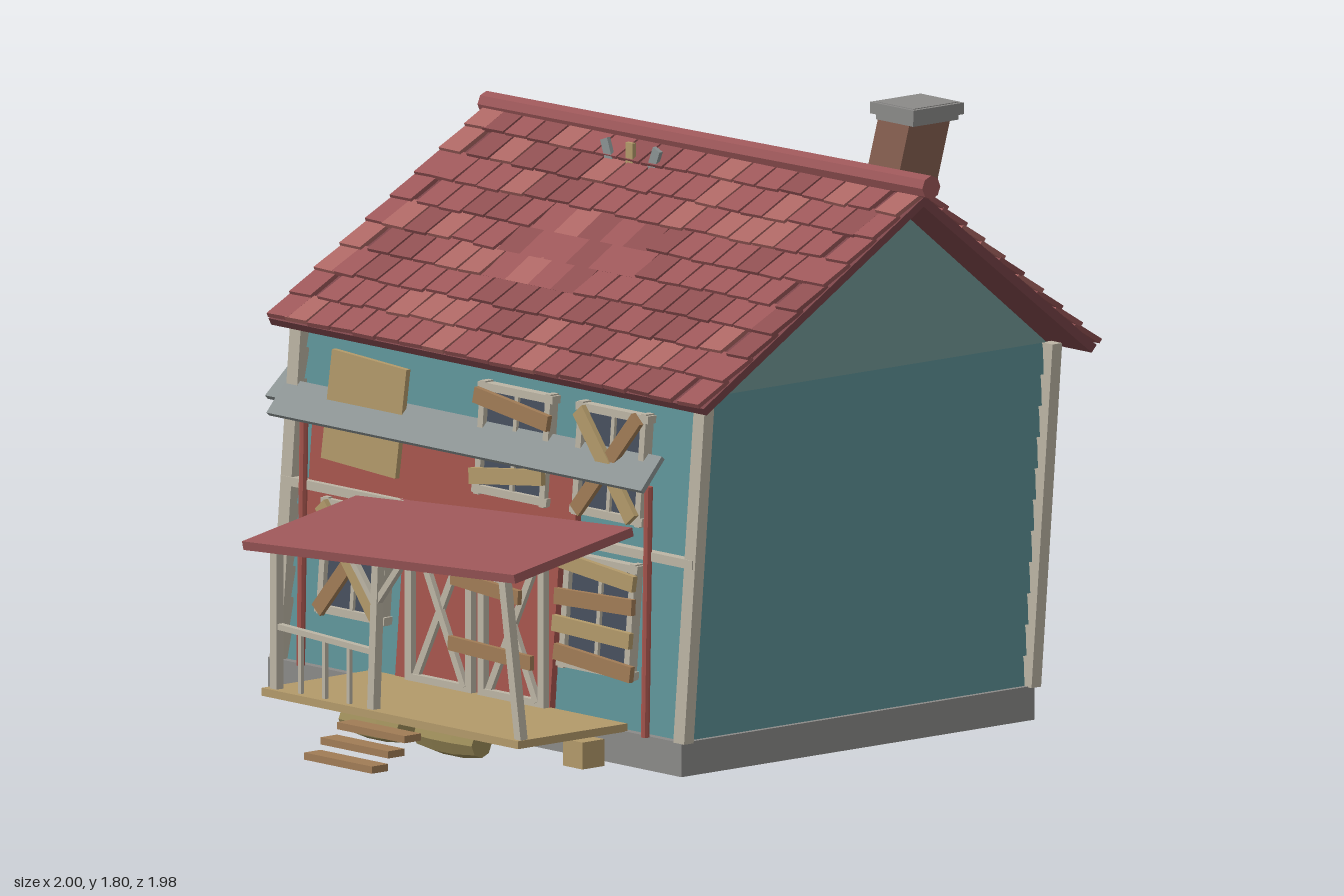
import * as THREE from 'three';
import { mergeGeometries } from 'three/addons/utils/BufferGeometryUtils.js';

const C = {
  teal: 0x5c9095, gable: 0x739a98, red: 0xa8564e, roof: 0x9b5658, roofLight: 0xab6663, roofDark: 0x8d4e50,
  trim: 0xbcb5a5, wood: 0xa17c56, paleWood: 0xb39a6a, stone: 0x8b8a88, metal: 0x8b9393, glass: 0x48505f,
  brick: 0x8a6253, darkRed: 0x7a4448, black: 0x2a2a2a, hay: 0x9a8a58,
};
const mats = {};
const mat = (c) => (mats[c] ??= new THREE.MeshStandardMaterial({ color: C[c], flatShading: true, side: THREE.DoubleSide }));

let seed = 7;
const rnd = () => (seed = (seed * 16807) % 2147483647) / 2147483647;
const jit = (a) => (rnd() - 0.5) * 2 * a;

function mesh(name, geo, color, x = 0, y = 0, z = 0, rx = 0, ry = 0, rz = 0) {
  const m = new THREE.Mesh(geo, mat(color));
  m.name = name;
  m.position.set(x, y, z);
  m.rotation.set(rx, ry, rz);
  return m;
}
const box = (name, color, w, h, d, x, y, z, rx, ry, rz) =>
  mesh(name, new THREE.BoxGeometry(w, h, d), color, x, y, z, rx, ry, rz);

// Bakes a part's transform, then slants it sideways about height y0
function lean(part, k = 0.09, y0 = part.position.y) {
  part.updateMatrixWorld(true);
  part.traverse((o) => {
    if (!o.isMesh) return;
    o.geometry.applyMatrix4(o.matrixWorld);
    const p = o.geometry.attributes.position;
    for (let i = 0; i < p.count; i++) p.setX(i, p.getX(i) + k * (p.getY(i) - y0));
    o.geometry.computeVertexNormals();
  });
  part.traverse((o) => { o.position.set(0, 0, 0); o.rotation.set(0, 0, 0); });
  return part;
}

// Framed window with boards nailed over it; each board is [x, y, length, angle]
function windowUnit(name, x, y, z, w, h, ry, boards) {
  const g = new THREE.Group();
  g.name = name;
  g.add(box('pane', 'glass', w, h, 0.01, 0, 0, 0.005));
  for (const s of [-1, 1]) {
    g.add(box('frameSide', 'trim', 0.022, h + 0.03, 0.03, s * w / 2, 0, 0.01));
    g.add(box('frameRail', 'trim', w + 0.04, 0.022, 0.03, 0, s * h / 2, 0.01));
  }
  g.add(box('mullion', 'trim', 0.014, h, 0.018, 0, 0, 0.01));
  boards.forEach(([bx, by, len, a], i) =>
    g.add(box('board', i % 2 ? 'paleWood' : 'wood', len, 0.045, 0.016, bx, by, 0.032 + i * 0.004, 0, 0, a)));
  g.position.set(x, y, z);
  g.rotation.y = ry;
  return lean(g);
}

function buildWalls(root) {
  root.add(box('foundation', 'stone', 1.71, 0.095, 1.29, -0.145, 0.085, -0.245));
  // Clapboard courses: each flares outward at its lower edge
  const rows = 11, h = 0.97 / rows;
  for (let i = 0; i < rows; i++) {
    const y = 0.13 + (i + 0.5) * h;
    const geo = new THREE.BoxGeometry(1, h, 1), p = geo.attributes.position;
    for (let j = 0; j < p.count; j++) {
      const out = p.getY(j) < 0 ? 0.012 : 0;
      p.setX(j, Math.sign(p.getX(j)) * (0.818 + out));
      p.setZ(j, Math.sign(p.getZ(j)) * (0.615 + out));
    }
    root.add(lean(mesh('clapboards', geo, 'teal', -0.135 + 0.09 * (y - 0.13), y, -0.25)));
  }
  // Gable block
  const tri = new THREE.Shape([[-0.37, 1.1], [0.88, 1.1], [0.255, 1.585]].map((q) => new THREE.Vector2(...q)));
  const gable = new THREE.ExtrudeGeometry(tri, { depth: 1.64, bevelEnabled: false }).rotateY(Math.PI / 2).translate(-0.868, 0, 0);
  root.add(lean(mesh('gable', gable, 'gable'), 0.1, 1.1));
  // Corner posts and downpipes
  for (const z of [0.385, -0.885]) {
    for (const x of [-0.925, 0.745]) root.add(lean(box('cornerPost', 'trim', 0.045, 0.97, 0.035, x, 0.615, z)));
    for (const x of [-0.85, 0.575])
      root.add(lean(mesh('downpipe', new THREE.CylinderGeometry(0.012, 0.012, 0.7, 8), 'red', x, 0.48, z + Math.sign(z) * 0.022), 0.02));
  }
  root.add(box('frontTrim', 'trim', 1.7, 0.025, 0.03, -0.09, 0.635, 0.39));
  root.add(lean(box('redPanel', 'red', 1.1, 0.17, 0.02, -0.28, 0.735, 0.385)));
  root.add(lean(box('redDoorway', 'red', 0.64, 0.49, 0.02, -0.14, 0.375, 0.385)));
  root.add(lean(box('redSidePanel', 'red', 0.34, 0.08, 0.02, -0.68, 0.59, 0.385)));
}

function buildRoof(root) {
  const run = 0.72, rise = 0.52, L = Math.hypot(run, rise), a = Math.atan2(rise, run);
  const shades = { roof: [], roofLight: [], roofDark: [] };
  const place = (geo, s) => geo.rotateX(s * a).translate(0.02, 1.615, -0.26);
  const rows = 9, cols = 19, dv = L / rows, dx = 1.8 / cols;
  for (const s of [1, -1]) {
    const deck = place(new THREE.BoxGeometry(1.8, 0.025, L).translate(0, -0.015, s * L / 2), s);
    root.add(lean(mesh('roofDeck', deck, 'darkRed'), 0.2, 1.355));
    for (let r = 0; r < rows; r++) for (let c = 0; c < cols; c++) {
      const shift = r % 2 ? 0.02 : -0.02, x = -0.9 + (c + 0.5) * dx + (c && c < cols - 1 ? shift : 0);
      const v = (r + 0.5) * dv;
      const worn = Math.hypot((x + 0.1) / 0.28, (v - 0.42) / 0.16) < 1;
      const tile = new THREE.BoxGeometry(dx - (worn ? 0 : 0.008), 0.014, dv + 0.012 + (worn ? 0 : jit(0.01)))
        .rotateX(worn ? 0 : -s * 0.1).rotateY(worn ? 0 : jit(0.03)).translate(x, worn ? 0.004 : 0.008, s * v);
      shades[['roof', 'roofLight', 'roofDark', 'roof'][Math.floor(rnd() * 4)]].push(place(tile, s));
    }
  }
  for (const k in shades) root.add(lean(mesh('shingles', mergeGeometries(shades[k]), k), 0.2, 1.355));
  const ridge = new THREE.CylinderGeometry(0.033, 0.033, 1.84, 8).rotateZ(Math.PI / 2);
  root.add(mesh('ridgeCap', ridge, 'roof', 0.077, 1.628, -0.26, 0, 0, 0.012));

  // Leaning chimney
  root.add(lean(box('chimney', 'brick', 0.13, 0.46, 0.15, 0.585, 1.54, -0.505), 0.3));
  root.add(box('chimneyCap', 'stone', 0.18, 0.032, 0.185, 0.655, 1.782, -0.51));
  root.add(box('chimneyCapRim', 'stone', 0.155, 0.05, 0.165, 0.655, 1.775, -0.51));

  // Broken planks and the red fin poking out of the slopes
  [[-0.235, 0.35, 'metal'], [-0.145, 0, 'paleWood'], [-0.05, -0.4, 'metal']].forEach(([x, r, c]) =>
    root.add(box('brokenPlank', c, 0.03, 0.09, 0.012, x, 1.57, -0.17, 0, 0, r)));
  const fin = new THREE.Shape([[0.54, 1.37], [0.69, 1.415], [0.69, 1.54], [0.58, 1.48]].map((q) => new THREE.Vector2(...q)));
  root.add(mesh('fin', new THREE.ExtrudeGeometry(fin, { depth: 0.012, bevelEnabled: false }).rotateY(Math.PI / 2), 'red', -0.148));
}

function buildAwnings(root) {
  for (const s of [1, -1])
    root.add(box('awning', 'metal', 1.55, 0.014, 0.115, -0.155, 0.87, -0.25 + s * 0.675, s * 0.85));
  // Arched awning on the end wall
  const pts = [[0.4, 0.86], [0.06, 1.2], [-0.26, 1.33], [-0.58, 1.2], [-0.9, 0.86]];
  for (let i = 0; i < pts.length - 1; i++) {
    const [z0, y0] = pts[i], [z1, y1] = pts[i + 1];
    const seg = box('archAwning', 'metal', 0.09, 0.016, Math.hypot(z1 - z0, y1 - y0) + 0.01,
      -0.93, (y0 + y1) / 2, (z0 + z1) / 2, Math.atan2(y1 - y0, z0 - z1));
    root.add(lean(seg, 0.13, 1.07));
  }
  root.add(box('redPlank', 'red', 0.02, 0.06, 0.2, -0.9, 1.14, -0.3, 0.15));
  root.add(box('loosePlank', 'wood', 0.02, 0.035, 0.17, -0.92, 0.95, -0.27, -0.3));
  root.add(box('loosePlank', 'paleWood', 0.02, 0.035, 0.12, -0.92, 0.9, -0.28, 0.25));
}

function buildOpenings(root) {
  const cross = (l) => [[0, 0, l, 0.9], [0, 0, l, -0.85]];
  const slats = (n, l, h) => Array.from({ length: n }, (_, i) => [jit(0.01), (i / (n - 1) - 0.5) * h, l, jit(0.1)]);
  root.add(windowUnit('upperWindow', 0.02, 0.87, 0.385, 0.27, 0.29, 0, [[0, 0.1, 0.31, -0.13], [0, -0.09, 0.3, 0.12]]));
  root.add(windowUnit('upperWindow', 0.42, 0.87, 0.385, 0.26, 0.29, 0, cross(0.37)));
  root.add(windowUnit('lowerWindow', -0.64, 0.45, 0.385, 0.25, 0.3, 0, cross(0.39)));
  root.add(windowUnit('lowerWindow', 0.37, 0.44, 0.385, 0.27, 0.3, 0, slats(4, 0.32, 0.26)));
  root.add(windowUnit('endWindow', -0.905, 0.88, -0.56, 0.26, 0.3, -Math.PI / 2, cross(0.38)));
  root.add(windowUnit('endWindow', -0.945, 0.45, 0.02, 0.25, 0.3, -Math.PI / 2, slats(4, 0.3, 0.26)));
  root.add(windowUnit('backWindow', 0.27, 0.52, -0.88, 0.2, 0.12, Math.PI, [[0, 0.05, 0.25, 0.08], [0, -0.055, 0.24, -0.06]]));
  root.add(lean(box('blankBoard', 'paleWood', 0.31, 0.31, 0.015, -0.585, 0.87, 0.41, 0, 0, -0.05), 0.1));
  // Barn doors with cross bracing
  for (const x of [-0.28, 0.02]) {
    for (const s of [-1, 1]) {
      root.add(box('doorStile', 'trim', 0.025, 0.44, 0.02, x + s * 0.125, 0.37, 0.405));
      root.add(box('doorRail', 'trim', 0.26, 0.025, 0.02, x, 0.37 + s * 0.21, 0.405));
      root.add(box('doorBrace', 'trim', 0.022, 0.46, 0.015, x, 0.37, 0.405 + s * 0.004, 0, 0, s * 0.47));
    }
  }
  root.add(box('doorBoard', 'wood', 0.28, 0.04, 0.015, -0.07, 0.46, 0.425, 0, 0, -0.07));
  root.add(box('doorBoard', 'wood', 0.34, 0.04, 0.015, -0.05, 0.28, 0.425, 0, 0, -0.03));
  // Planks propped on the back wall
  [[-0.34, 0.3, 'metal'], [-0.46, 0.29, 'wood'], [-0.58, 0.31, 'metal']].forEach(([x, y, c]) =>
    root.add(box('backPlank', c, 0.06, 0.27, 0.015, x, y, -0.892)));
}

function buildPorch(root) {
  root.add(box('porchFloor', 'paleWood', 1.06, 0.022, 0.4, -0.055, 0.142, 0.59));
  root.add(box('porchRoof', 'roof', 1.14, 0.025, 0.44, -0.06, 0.62, 0.61, 0.18, 0, 0.06));
  // Posts given as top and bottom x
  [[-0.55, -0.55, 0.56], [-0.13, -0.15, 0.58], [0.39, 0.46, 0.61]].forEach(([top, bottom, y]) => {
    const h = y - 0.15;
    root.add(lean(box('porchPost', 'trim', 0.026, h, 0.026, (top + bottom) / 2, 0.15 + h / 2, 0.765), (top - bottom) / h));
  });
  for (const s of [-1, 1]) root.add(box('postBrace', 'trim', 0.018, 0.16, 0.018, -0.14 + s * 0.055, 0.51, 0.765, 0, 0, -s * 0.7));
  root.add(box('porchRail', 'trim', 0.41, 0.016, 0.02, -0.345, 0.32, 0.765, 0, 0, -0.04));
  for (const x of [-0.45, -0.35, -0.25]) root.add(box('baluster', 'trim', 0.012, 0.165, 0.012, x, 0.235, 0.765));
  for (let i = 0; i < 3; i++) root.add(box('step', 'wood', 0.28, 0.02, 0.06, -0.06, 0.04 + i * 0.035, 0.945 - i * 0.06));
  // Barrels and a crate under the porch
  for (const [x, z] of [[-0.32, 0.6], [-0.01, 0.6]]) {
    const pts = [[0, -0.12], [0.037, -0.12], [0.047, -0.04], [0.047, 0.04], [0.037, 0.12], [0, 0.12]];
    const barrel = new THREE.LatheGeometry(pts.map((q) => new THREE.Vector2(...q)), 8).rotateZ(Math.PI / 2);
    root.add(mesh('barrel', barrel, 'hay', x, 0.068, z));
  }
  root.add(box('crate', 'paleWood', 0.08, 0.075, 0.08, 0.385, 0.07, 0.47));
}

function buildUnderside(root) {
  for (let i = 0; i < 5; i++)
    root.add(box('underPlank', 'brick', 0.95 + jit(0.12), 0.012, 0.06, -0.1 + jit(0.05), 0.033, -0.5 + i * 0.12, 0, jit(0.04)));
  [[-0.65, -0.07], [0.38, -0.07], [-0.14, -0.24], [0.1, -0.4]].forEach(([x, z], i) =>
    root.add(box('underPeg', i < 2 ? 'black' : 'wood', 0.035, i < 2 ? 0.04 : 0.03, 0.045, x, i < 2 ? 0.02 : 0.025, z)));
}

export function createModel() {
  seed = 7;
  const root = new THREE.Group();
  root.name = 'crookedHouse';
  [buildWalls, buildRoof, buildAwnings, buildOpenings, buildPorch, buildUnderside].forEach((build) => build(root));
  return root;
}
